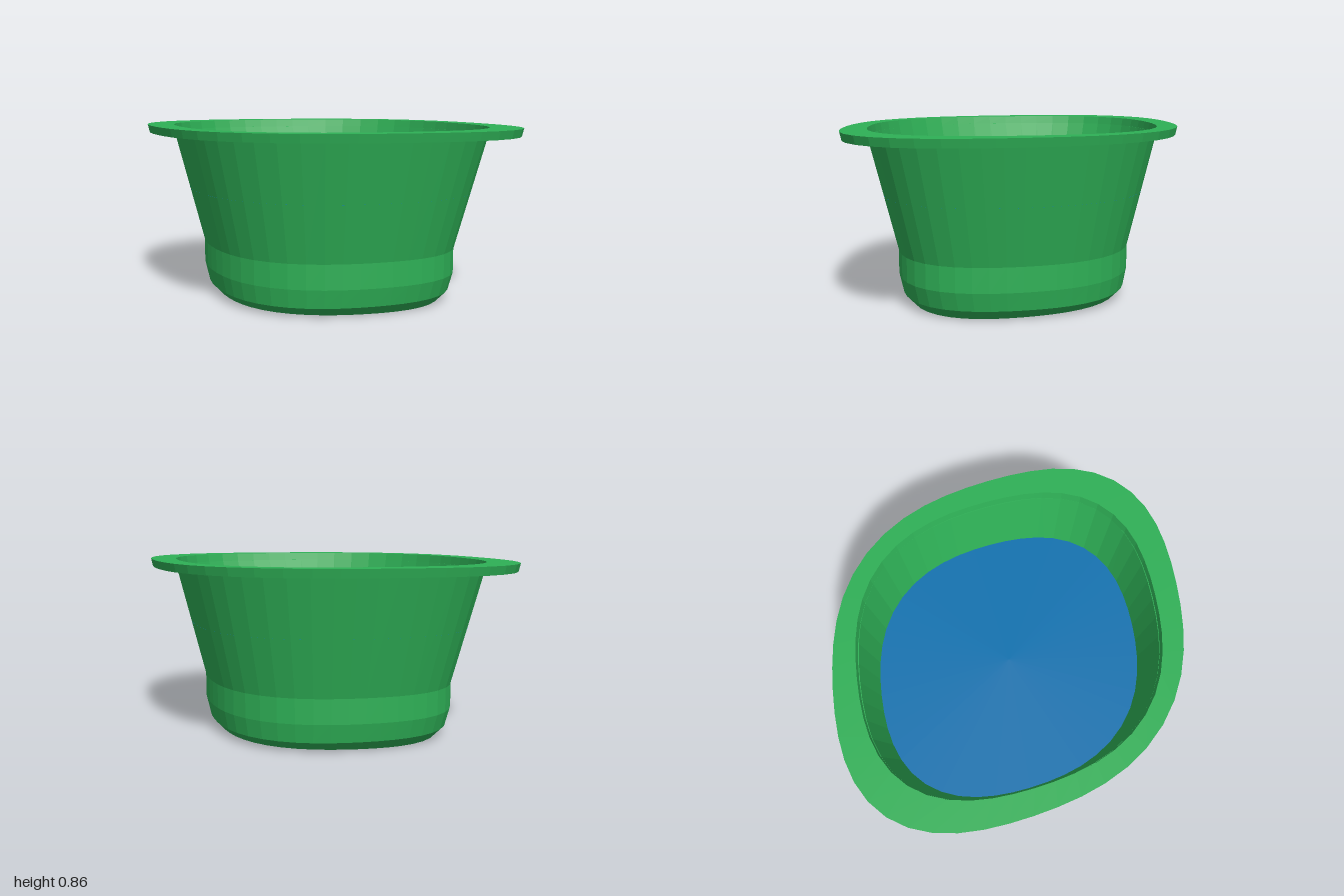
import * as THREE from 'three';

const SEGMENTS = 48;

// Oval ring with flattened diagonals; sag lifts its front and back slightly
function ringPoint([rx, rz, y, sag = 0], squeeze, i) {
  const t = (i / SEGMENTS) * Math.PI * 2;
  const k = 1 - squeeze * Math.sin(2 * t) ** 2;
  return [rx * k * Math.cos(t), y + sag * Math.sin(t) ** 2, rz * k * Math.sin(t)];
}

// Skin joining consecutive rings [rx, rz, y, sag]
function loft(name, material, rings, squeeze) {
  const positions = [];
  for (let j = 0; j < rings.length - 1; j++) {
    for (let i = 0; i < SEGMENTS; i++) {
      const a = ringPoint(rings[j], squeeze, i);
      const b = ringPoint(rings[j], squeeze, i + 1);
      const c = ringPoint(rings[j + 1], squeeze, i);
      const d = ringPoint(rings[j + 1], squeeze, i + 1);
      if (rings[j][0] > 0) positions.push(...a, ...c, ...b);
      if (rings[j + 1][0] > 0) positions.push(...b, ...c, ...d);
    }
  }
  const geometry = new THREE.BufferGeometry();
  geometry.setAttribute('position', new THREE.Float32BufferAttribute(positions, 3));
  geometry.computeVertexNormals();
  const mesh = new THREE.Mesh(geometry, material);
  mesh.name = name;
  return mesh;
}

export function createModel() {
  const green = new THREE.MeshStandardMaterial({
    name: 'green plastic', color: 0x2eb056, flatShading: true, side: THREE.DoubleSide,
  });
  const blue = new THREE.MeshStandardMaterial({
    name: 'blue water', color: 0x0d72b0, flatShading: true,
  });
  const group = new THREE.Group();
  group.name = 'basin';

  // Base, bevelled foot, upright band and flared wall
  group.add(loft('bowl', green, [
    [0, 0, 0.005],
    [0.60, 0.535, 0, 0.01],
    [0.65, 0.575, 0.05],
    [0.675, 0.59, 0.14],
    [0.675, 0.59, 0.26],
    [0.83, 0.72, 0.82],
  ], 0.06));

  // Flat rim, wider at the two ends
  group.add(loft('rim', green, [
    [0.83, 0.72, 0.82],
    [0.99, 0.81, 0.82],
    [1, 0.818, 0.86],
  ], 0.07));
  group.add(loft('rimTop', green, [[1, 0.818, 0.86], [0.838, 0.729, 0.86]], 0.07));
  group.add(loft('rimInnerEdge', green, [[0.838, 0.729, 0.86], [0.83, 0.72, 0.82]], 0.065));

  // Water surface
  group.add(loft('water', blue, [[0.753, 0.656, 0.54], [0, 0, 0.54]], 0.06));

  return group;
}
